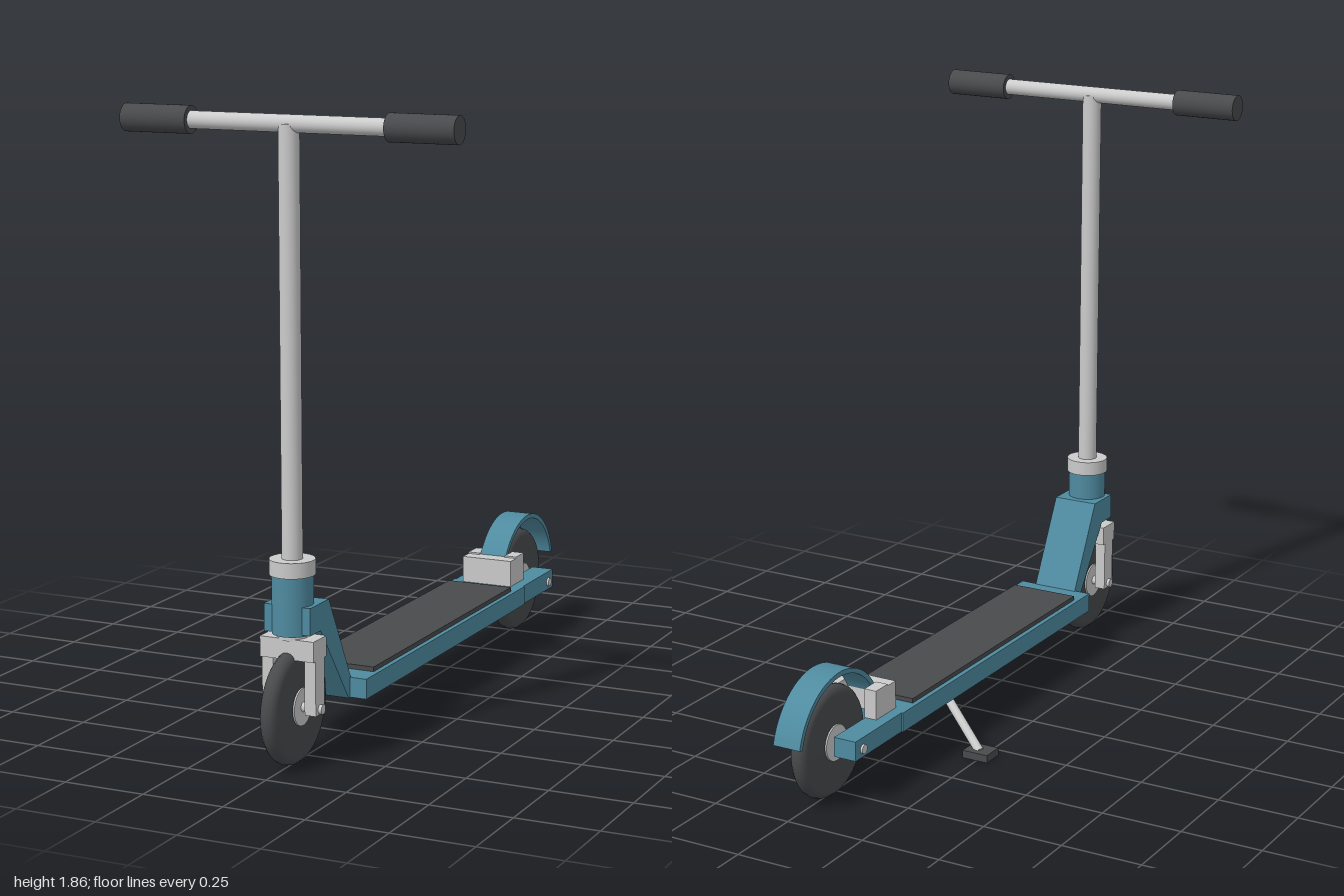
import * as THREE from 'three';

const paint = new THREE.MeshStandardMaterial({ color: 0x4f8ba0 });
const metal = new THREE.MeshStandardMaterial({ color: 0xcccccc });
const rubber = new THREE.MeshStandardMaterial({ color: 0x484a4c });

const FRONT_Z = 0.83, REAR_Z = -0.785, AXLE_Y = 0.17;

export function createModel() {
  const scooter = new THREE.Group();
  scooter.name = 'kickScooter';

  const add = (name, geometry, material, parent = scooter) => {
    const mesh = new THREE.Mesh(geometry, material);
    mesh.name = name;
    parent.add(mesh);
    return mesh;
  };
  // Box given by its limits on each axis
  const box = (name, [x0, x1], [y0, y1], [z0, z1], material) => {
    const mesh = add(name, new THREE.BoxGeometry(x1 - x0, y1 - y0, z1 - z0), material);
    mesh.position.set((x0 + x1) / 2, (y0 + y1) / 2, (z0 + z1) / 2);
    return mesh;
  };
  // Round bar between two points
  const bar = (name, a, b, radius, material, sides = 32) => {
    const from = new THREE.Vector3(...a), to = new THREE.Vector3(...b);
    const dir = to.clone().sub(from);
    const mesh = add(name, new THREE.CylinderGeometry(radius, radius, dir.length(), sides), material);
    mesh.position.copy(from).add(to).multiplyScalar(0.5);
    mesh.quaternion.setFromUnitVectors(new THREE.Vector3(0, 1, 0), dir.normalize());
    return mesh;
  };
  // Side profile of [z, y] points, extruded across x
  const sideProfile = (name, shape, width, material) => {
    const geometry = new THREE.ExtrudeGeometry(shape, { depth: width, bevelEnabled: false, curveSegments: 32 });
    geometry.translate(0, 0, -width / 2);
    geometry.rotateY(-Math.PI / 2);
    return add(name, geometry, material);
  };

  // Wheels: rounded tyre, hub and axle
  const wheel = (name, z, axleHalf) => {
    const group = new THREE.Group();
    group.name = name;
    group.position.set(0, AXLE_Y, z);
    group.rotation.z = Math.PI / 2;
    scooter.add(group);
    const tyre = [[0.04, -0.026], [0.145, -0.026], [0.158, -0.023], [0.167, -0.013], [0.17, 0],
      [0.167, 0.013], [0.158, 0.023], [0.145, 0.026], [0.04, 0.026]];
    add('tyre', new THREE.LatheGeometry(tyre.map(p => new THREE.Vector2(...p)), 48), rubber, group);
    add('hub', new THREE.CylinderGeometry(0.055, 0.055, 0.062, 32), metal, group);
    add('axle', new THREE.CylinderGeometry(0.014, 0.014, axleHalf * 2, 20), metal, group);
  };
  wheel('frontWheel', FRONT_Z, 0.095);
  wheel('rearWheel', REAR_Z, 0.127);

  // Steering column and handlebar
  bar('stem', [0, 0.58, FRONT_Z], [0, 1.82, FRONT_Z], 0.03, metal);
  bar('collar', [0, 0.555, FRONT_Z], [0, 0.6, FRONT_Z], 0.066, metal);
  bar('headTube', [0, 0.385, FRONT_Z], [0, 0.556, FRONT_Z], 0.06, paint);
  bar('lowerBearing', [0, 0.37, FRONT_Z], [0, 0.39, FRONT_Z], 0.045, metal);
  bar('handlebar', [-0.5, 1.82, FRONT_Z], [0.5, 1.82, FRONT_Z], 0.025, metal);

  // Fork crown
  box('forkCrown', [-0.085, 0.085], [0.315, 0.375], [FRONT_Z - 0.04, FRONT_Z + 0.04], metal);

  // Mirrored parts
  for (const s of [-1, 1]) {
    const span = (a, b) => s > 0 ? [a, b] : [-b, -a];
    bar('grip', [s * 0.305, 1.82, FRONT_Z], [s * 0.512, 1.82, FRONT_Z], 0.04, rubber);
    box('forkLeg', span(0.05, 0.085), [0.155, 0.33], [FRONT_Z - 0.028, FRONT_Z + 0.028], metal);
    box('rearArm', span(0.047, 0.12), [0.145, 0.205], [-0.825, -0.56], paint);
    box('fenderMountEar', span(0.045, 0.085), [0.205, 0.295], [-0.655, -0.59], metal);
  }

  // Sloping neck between head tube and deck
  const neck = new THREE.Shape([[0.866, 0.47], [0.748, 0.47], [0.61, 0.205], [0.61, 0.145],
    [0.625, 0.145], [0.8, 0.39], [0.866, 0.39]].map(p => new THREE.Vector2(...p)));
  sideProfile('neck', neck, 0.146, paint);

  // Deck with grip pad
  box('deck', [-0.125, 0.125], [0.145, 0.205], [-0.57, 0.615], paint);
  box('gripPad', [-0.11, 0.11], [0.2, 0.219], [-0.49, 0.535], rubber);

  // Rear fender and its mount
  box('fenderMount', [-0.085, 0.085], [0.205, 0.29], [-0.6, -0.545], metal);
  const fender = new THREE.Shape();
  const start = 0.5, end = Math.PI - 0.25;
  fender.absarc(REAR_Z, AXLE_Y, 0.222, start, end, false);
  fender.absarc(REAR_Z, AXLE_Y, 0.207, end, start, true);
  fender.closePath();
  sideProfile('rearFender', fender, 0.09, paint);

  // Kickstand
  bar('kickstandLeg', [-0.06, 0.155, -0.235], [-0.245, 0.018, -0.325], 0.014, metal, 16);
  box('kickstandFoot', [-0.287, -0.203], [0, 0.024], [-0.355, -0.285], rubber);

  return scooter;
}
